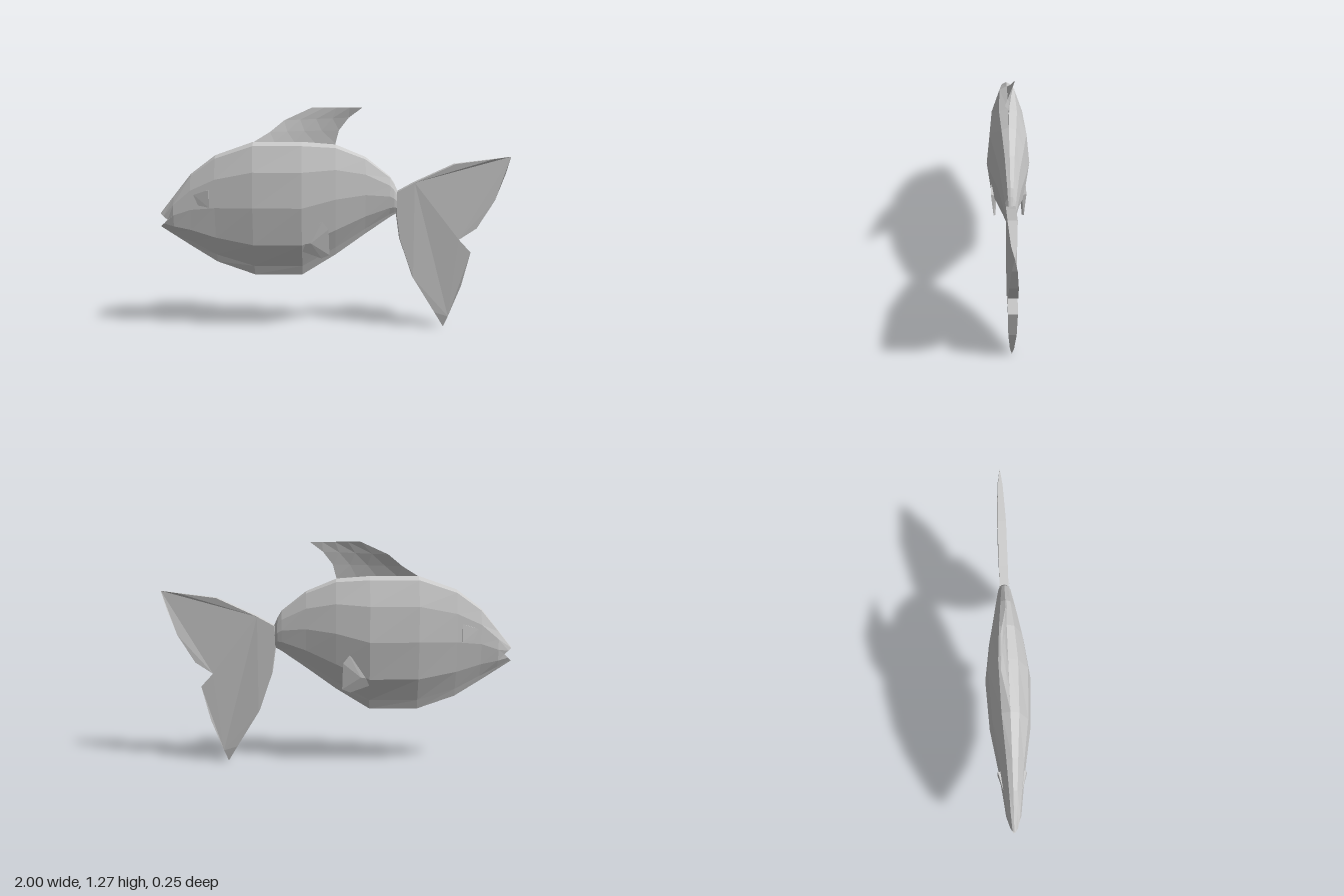
import * as THREE from 'three';
import { ConvexGeometry } from 'three/addons/geometries/ConvexGeometry.js';

const material = new THREE.MeshStandardMaterial({ color: 0xcccccc, flatShading: true });
const sheetMaterial = new THREE.MeshStandardMaterial({ color: 0xcccccc, flatShading: true, side: THREE.DoubleSide });

function addMesh(group, name, geometry, mat = material) {
  const mesh = new THREE.Mesh(geometry, mat);
  mesh.name = name;
  group.add(mesh);
}

function build(positions, index) {
  const g = new THREE.BufferGeometry();
  g.setAttribute('position', new THREE.Float32BufferAttribute(positions, 3));
  g.setIndex(index);
  g.computeVertexNormals();
  return g;
}

// Body: cross-sections lofted from mouth to tail root
function bodyGeometry() {
  // x, top, bottom, half width
  const stations = [
    [-1.0, 0.68, 0.605, 0.024], [-0.92, 0.78, 0.553, 0.04], [-0.82, 0.905, 0.488, 0.053],
    [-0.68, 1.01, 0.4, 0.073], [-0.465, 1.085, 0.325, 0.11], [-0.19, 1.085, 0.325, 0.126],
    [0.0, 1.07, 0.44, 0.099], [0.17, 1.0, 0.56, 0.065], [0.31, 0.89, 0.655, 0.04],
    [0.335, 0.85, 0.67, 0.034], [0.357, 0.8, 0.68, 0.022],
  ];
  // height fraction, width fraction
  const half = [[1, 0], [0.97, 0.4], [0.78, 0.84], [0.52, 1], [0.24, 0.8], [0.07, 0.36], [0, 0.22]];
  const ring = [...half, ...half.slice(1).reverse().map(([t, w]) => [t, -w])];
  const n = ring.length, last = stations.length - 1;
  const pos = [], idx = [];
  stations.forEach(([x, top, bottom, width], i) => {
    for (const [t, w] of ring) {
      // the first section folds inwards to form the mouth
      const notch = i === 0 ? 0.045 * (1 - Math.abs(t - 0.5) * 2) : 0;
      pos.push(x + notch, bottom + (top - bottom) * t, width * w);
    }
  });
  for (let i = 0; i < last; i++) {
    for (let j = 0; j < n; j++) {
      const k = (j + 1) % n;
      const a = i * n + j, c = i * n + k;
      idx.push(a, c, a + n, a + n, c, c + n);
    }
  }
  // end caps
  for (let j = 0; j < half.length - 1; j++) {
    const a = j, b = (n - j) % n, c = j + 1, d = n - j - 1, o = last * n;
    idx.push(a, b, c, b, d, c, o + a, o + c, o + b, o + b, o + c, o + d);
  }
  return build(pos, idx);
}

// Tail: slab that thins towards both tips
function tailGeometry() {
  const outline = [
    [0.35, 0.8], [0.45, 0.855], [0.68, 0.96], [0.9, 0.987], [1.0, 1.0], [0.97, 0.905], [0.91, 0.75],
    [0.81, 0.59], [0.71, 0.525], [0.78, 0.45], [0.73, 0.25], [0.66, 0.065], [0.635, 0],
    [0.58, 0.09], [0.45, 0.3], [0.37, 0.53], [0.35, 0.67],
  ];
  const shape = new THREE.Shape(outline.map(([x, y]) => new THREE.Vector2(x, y)));
  const g = new THREE.ExtrudeGeometry(shape, { depth: 2, bevelEnabled: false });
  g.translate(0, 0, -1);
  const p = g.attributes.position;
  for (let i = 0; i < p.count; i++) {
    const x = p.getX(i), y = p.getY(i);
    const d = Math.min(Math.hypot(x - 1, y - 1), Math.hypot(x - 0.635, y));
    p.setZ(i, p.getZ(i) * 0.025 * Math.min(1, Math.sqrt(d / 0.35)));
  }
  g.computeVertexNormals();
  return g;
}

// Dorsal fin: thin sheet, leaning sideways along its front edge
function dorsalGeometry() {
  const rows = [
    [[-0.46, 1.06, 0], [0, 1.05, 0]],
    [[-0.46, 1.085, 0], [0, 1.075, 0]],
    [[-0.37, 1.14, -0.02], [0.02, 1.15, 0]],
    [[-0.29, 1.205, -0.039], [0.075, 1.22, 0.006]],
    [[-0.135, 1.275, -0.035], [0.15, 1.275, 0.024]],
  ];
  const cols = 4, pos = [], idx = [];
  for (const [front, rear] of rows) {
    for (let j = 0; j <= cols; j++) {
      for (let k = 0; k < 3; k++) pos.push(THREE.MathUtils.lerp(front[k], rear[k], j / cols));
    }
  }
  for (let i = 0; i < rows.length - 1; i++) {
    for (let j = 0; j < cols; j++) {
      const a = i * (cols + 1) + j, b = a + cols + 1;
      idx.push(a, a + 1, b, a + 1, b + 1, b);
    }
  }
  return build(pos, idx);
}

// Convex solid placed on one side of the body
function sideSolid(points, side) {
  return new ConvexGeometry(points.map(([x, y, z]) => new THREE.Vector3(x, y, z * side)));
}

export function createModel() {
  const group = new THREE.Group();
  group.name = 'fish';
  addMesh(group, 'body', bodyGeometry());
  addMesh(group, 'tailFin', tailGeometry());
  addMesh(group, 'dorsalFin', dorsalGeometry(), sheetMaterial);

  const eye = [
    [-0.8, 0.735, 0.05], [-0.8, 0.79, 0.05], [-0.71, 0.72, 0.078], [-0.71, 0.82, 0.074],
    [-0.71, 0.72, 0.03], [-0.71, 0.82, 0.03],
  ];
  const fin = [
    [-0.27, 0.5, 0.085], [-0.16, 0.595, 0.09], [-0.075, 0.645, 0.1], [-0.04, 0.6, 0.104],
    [-0.035, 0.45, 0.09], [-0.08, 0.43, 0.083], [-0.27, 0.51, 0.07], [-0.075, 0.635, 0.075],
    [-0.04, 0.59, 0.078], [-0.04, 0.45, 0.078], [-0.14, 0.52, 0.102],
  ];
  for (const [label, side] of [['Front', 1], ['Back', -1]]) {
    addMesh(group, 'eye' + label, sideSolid(eye, side));
    addMesh(group, 'pectoralFin' + label, sideSolid(fin, side));
  }
  return group;
}
